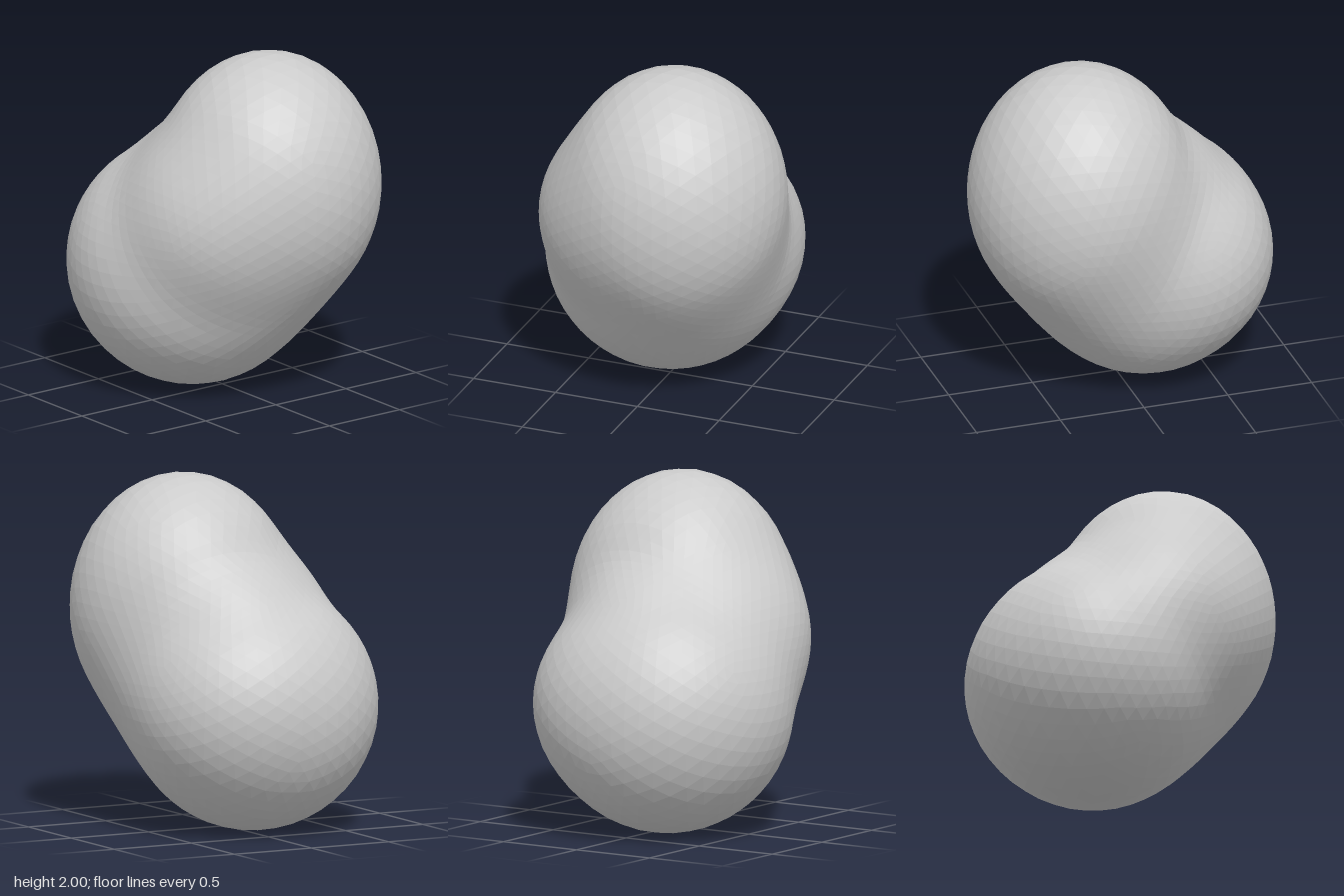
import * as THREE from 'three';

// Rounded masses that merge into the lump: centre, radii, softness of the crease
const mass = (centre, radii, softness) => ({
  centre: new THREE.Vector3(...centre),
  radii: new THREE.Vector3(...radii),
  softness,
});
const MASSES = [
  mass([0.13, 1.24, 0.26], [0.645, 0.76, 0.64], 0), // upper
  mass([-0.07, 0.715, -0.185], [0.715, 0.715, 0.715], 0.28), // lower
  mass([-0.18, 1.08, 0.2], [0.485, 0.485, 0.485], 0.2), // side swelling
  mass([0.1, 0.75, -0.3], [0.55, 0.55, 0.55], 0.1), // back swelling
  mass([0.05, 1.15, -0.2], [0.35, 0.35, 0.35], 0.15), // fill of the waist
];

// Approximate distance from a point to the surface of a mass, negative inside
function distanceTo({ centre, radii }, point) {
  return (point.clone().sub(centre).divide(radii).length() - 1) * radii.x;
}

// Union of two distances with a soft crease of width k
function softUnion(a, b, k) {
  const h = Math.max(k - Math.abs(a - b), 0) / k;
  return Math.min(a, b) - (h * h * k) / 4;
}

function lumpDistance(point) {
  const [first, ...rest] = MASSES;
  return rest.reduce(
    (d, m) => softUnion(d, distanceTo(m, point), m.softness),
    distanceTo(first, point)
  );
}

// Distance along a ray from the middle to the skin, by bisection
function skinRadius(middle, direction) {
  let inside = 0;
  let outside = 1.6;
  for (let i = 0; i < 24; i++) {
    const r = (inside + outside) / 2;
    if (lumpDistance(middle.clone().addScaledVector(direction, r)) < 0) inside = r;
    else outside = r;
  }
  return inside;
}

export function createModel() {
  const group = new THREE.Group();
  group.name = 'lump';

  // Faceted ball pushed out to the merged skin
  const geometry = new THREE.IcosahedronGeometry(1, 11);
  const { position } = geometry.attributes;
  const middle = new THREE.Vector3(0, 1, 0);
  const direction = new THREE.Vector3();
  for (let i = 0; i < position.count; i++) {
    direction.fromBufferAttribute(position, i).normalize();
    const p = middle.clone().addScaledVector(direction, skinRadius(middle, direction));
    position.setXYZ(i, p.x, p.y, p.z);
  }
  geometry.computeVertexNormals();

  const body = new THREE.Mesh(
    geometry,
    new THREE.MeshStandardMaterial({ color: 0xcccccc, flatShading: true })
  );
  body.name = 'body';
  group.add(body);
  return group;
}
